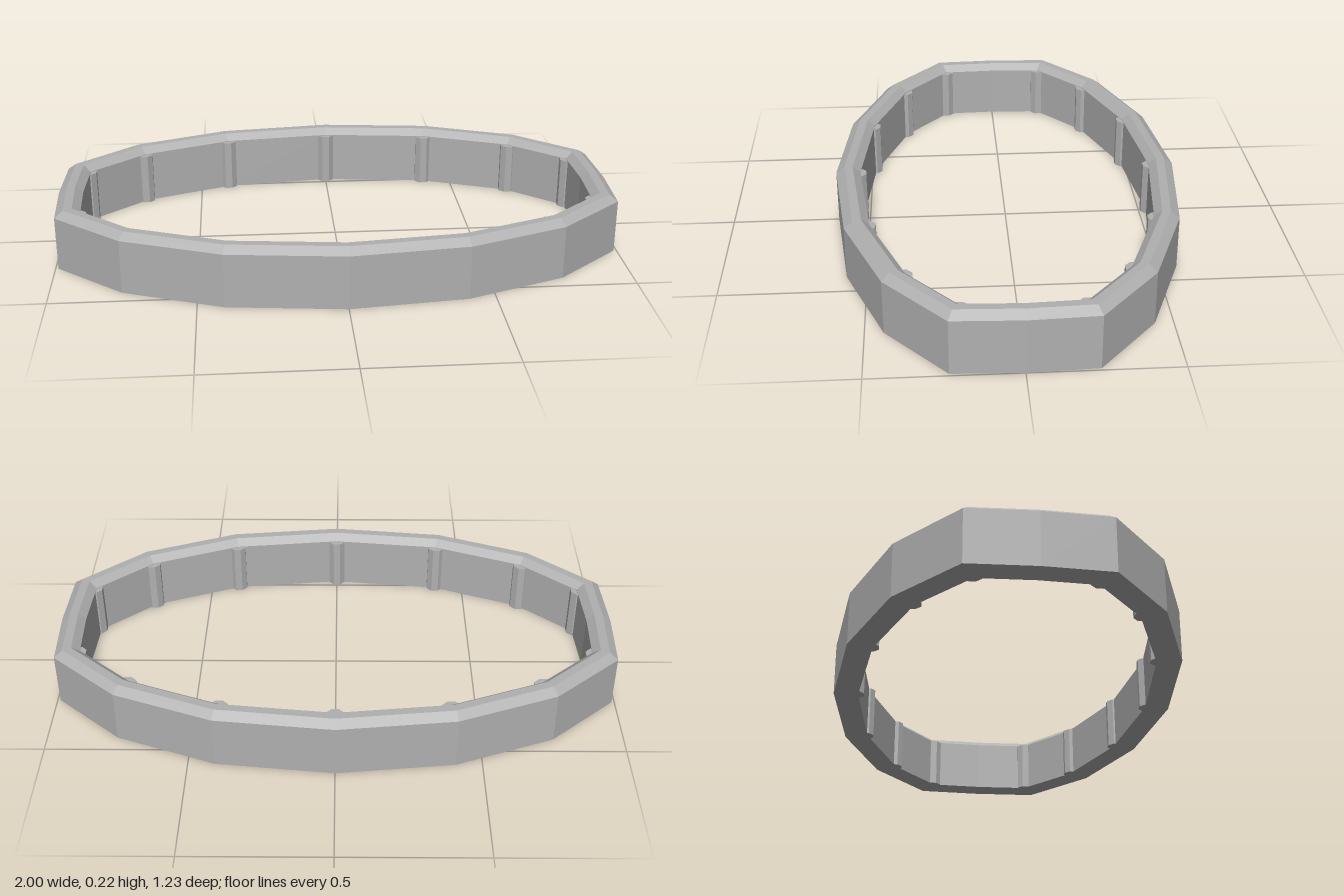
import * as THREE from 'three';

// One quarter of the sixteen-sided outline, from the front middle to the left end
const QUARTER = [[0, 0.615], [0.41, 0.57], [0.755, 0.438], [0.99, 0.235], [1, 0]];

// Mirror the quarter into a full loop, turning from +z towards +x
function fullOutline() {
  const half = [...QUARTER, ...QUARTER.slice(0, 4).reverse().map(([x, z]) => [x, -z])];
  return [...half, ...half.slice(1, -1).reverse().map(([x, z]) => [-x, z])]
    .map(([x, z]) => new THREE.Vector2(x, z));
}

// Move every side of the loop inwards by the same distance, with mitred corners
function inset(loop, d) {
  const n = loop.length;
  const normal = (a, b) => new THREE.Vector2(a.y - b.y, b.x - a.x).normalize();
  return loop.map((p, i) => {
    const n1 = normal(loop[(i + n - 1) % n], p);
    const n2 = normal(p, loop[(i + 1) % n]);
    const mitre = n1.clone().add(n2).multiplyScalar(d / (1 + n1.dot(n2)));
    // the mitre must point to the middle of the ring
    if (mitre.dot(p) > 0) mitre.negate();
    return p.clone().add(mitre);
  });
}

// Sweep a closed [inset, height] profile around the outline
function ringGeometry(outline, profile) {
  const rings = profile.map(([d, y]) =>
    inset(outline, d).map((p) => new THREE.Vector3(p.x, y, p.y)));
  const points = [];
  rings.forEach((ring, j) => {
    const next = rings[(j + 1) % rings.length];
    ring.forEach((a, i) => {
      const k = (i + 1) % ring.length;
      const b = ring[k], c = next[k], d = next[i];
      points.push(a, b, c, a, c, d);
    });
  });
  const geometry = new THREE.BufferGeometry().setFromPoints(points);
  geometry.computeVertexNormals();
  return geometry;
}

export function createModel() {
  const model = new THREE.Group();
  model.name = 'ovalRing';
  const grey = new THREE.MeshStandardMaterial({ color: 0xb0b0b0, flatShading: true });
  grey.name = 'grey';

  // Rim: upright wall with both top edges chamfered
  const outline = fullOutline();
  const profile = [[0, 0], [0, 0.192], [0.03, 0.215], [0.06, 0.215], [0.087, 0.192], [0.087, 0]];
  const rim = new THREE.Mesh(ringGeometry(outline, profile), grey);
  rim.name = 'rim';
  model.add(rim);

  // Ribs: octagonal posts in the inner corners, none at the two ends
  const ribs = new THREE.Group();
  ribs.name = 'ribs';
  const post = new THREE.CylinderGeometry(0.033, 0.033, 0.19, 8);
  post.rotateY(Math.PI / 8);
  inset(outline, 0.078).forEach((p) => {
    if (Math.abs(p.y) < 0.01) return;
    const rib = new THREE.Mesh(post, grey);
    rib.name = 'rib';
    rib.position.set(p.x, 0.095, p.y);
    ribs.add(rib);
  });
  model.add(ribs);
  return model;
}
